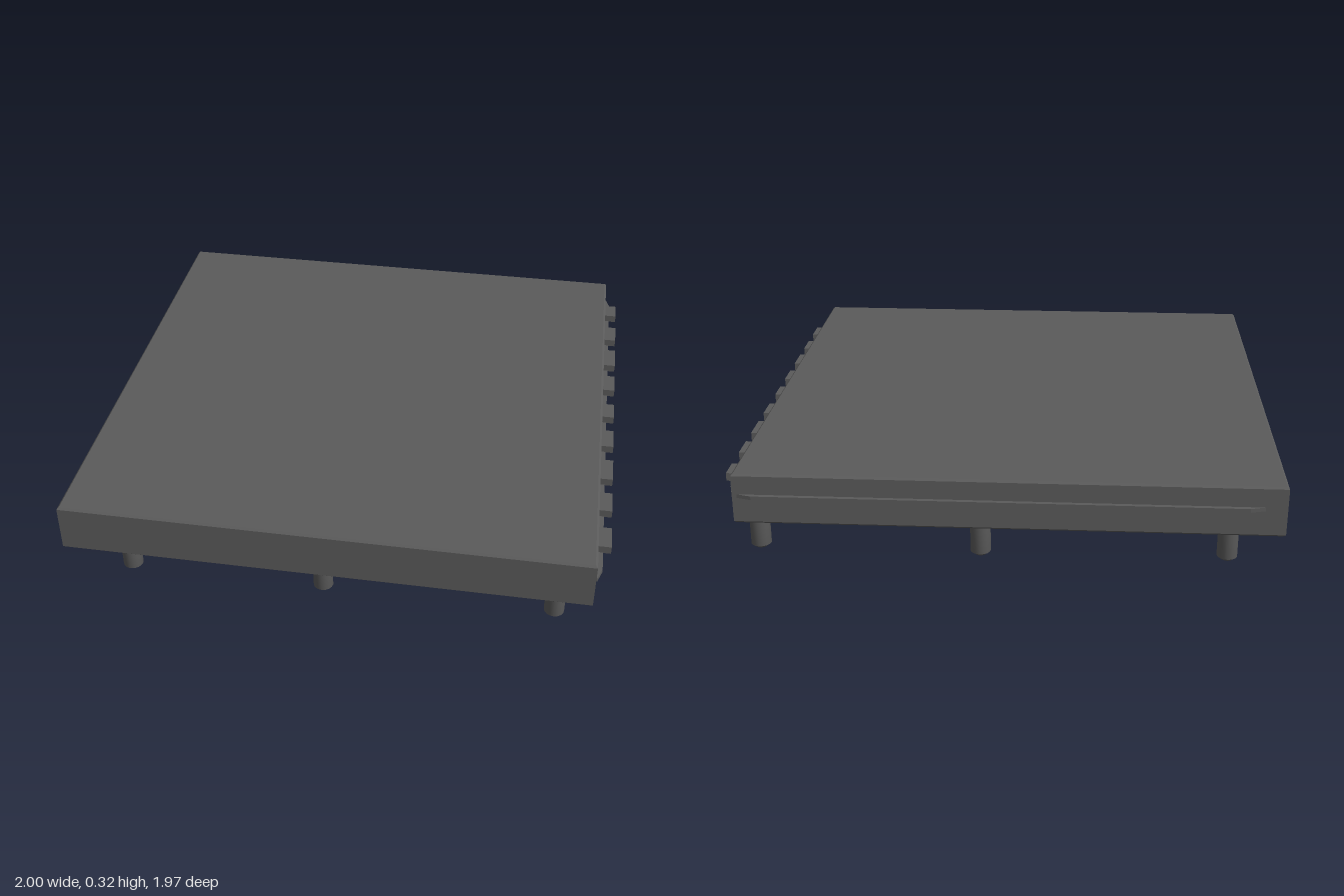
import * as THREE from 'three';

export function createModel() {
  const model = new THREE.Group();
  const grey = new THREE.MeshStandardMaterial({ color: 0x5b5b5b });
  grey.name = 'dark grey';

  function add(name, geometry, x = 0, y = 0, z = 0, parent = model) {
    const mesh = new THREE.Mesh(geometry, grey);
    mesh.name = name;
    mesh.position.set(x, y, z);
    parent.add(mesh);
    return mesh;
  }

  // Flat outline in x/z, extruded upward from y with an optional chamfer
  function slab(name, points, y, height, chamfer = 0) {
    const shape = new THREE.Shape(points.map(([x, z]) => new THREE.Vector2(x, -z)));
    const geometry = new THREE.ExtrudeGeometry(shape, {
      depth: height - 2 * chamfer, bevelEnabled: chamfer > 0, bevelSegments: 1,
      bevelSize: chamfer, bevelThickness: chamfer, bevelOffset: -chamfer,
    });
    geometry.rotateX(-Math.PI / 2);
    return add(name, geometry, 0, y + chamfer, 0);
  }

  // Square slab with chamfered top and bottom edges
  slab('body', [[-1, 0.98], [0.95, 0.98], [0.95, -0.97], [-1, -0.97]], 0.13, 0.192, 0.008);

  // Thin lips along the right and back sides, tapered at their ends
  slab('sideLip', [[0.94, 0.95], [0.955, 0.95], [0.972, 0.9], [0.972, -0.9], [0.955, -0.955], [0.94, -0.955]], 0.226, 0.016);
  slab('backLip', [[0.94, -0.96], [0.94, -0.968], [0.88, -0.985], [-0.87, -0.985], [-0.93, -0.968], [-0.93, -0.96]], 0.23, 0.014);

  // Row of connector tabs above the side lip: [centre z, width]
  const tabs = new THREE.Group();
  tabs.name = 'connectorTabs';
  model.add(tabs);
  [[0.76, 0.105], [0.56, 0.105], [0.365, 0.12], [0.165, 0.105], [-0.025, 0.09],
    [-0.225, 0.105], [-0.42, 0.12], [-0.615, 0.105], [-0.81, 0.085]].forEach(([z, width]) =>
    add('tab', new THREE.BoxGeometry(0.055, 0.03, width), 0.9725, 0.255, z, tabs));

  // Six round legs, each with a narrower foot
  const profile = [[0, 0], [0.022, 0], [0.022, 0.01], [0.037, 0.012], [0.037, 0.135]]
    .map(([r, y]) => new THREE.Vector2(r, y));
  const legGeometry = new THREE.LatheGeometry(profile, 16);
  [[-0.77, 0.89], [-0.035, 0.89], [0.82, 0.89],
    [-0.81, -0.89], [0.075, -0.9], [0.88, -0.885]].forEach(([x, z]) =>
    add('leg', legGeometry, x, 0, z));

  return model;
}
